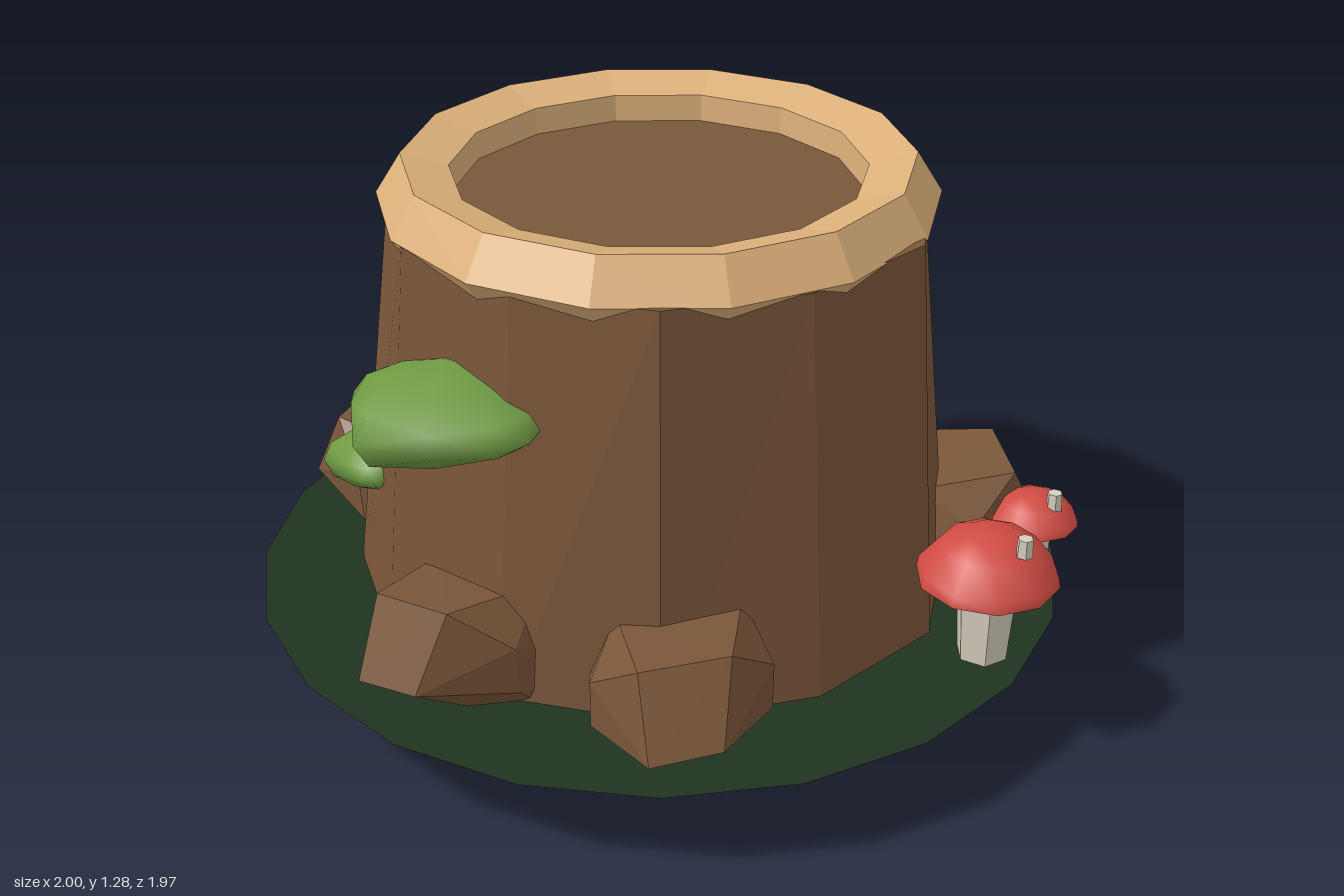
import * as THREE from 'three';
import { ConvexGeometry } from 'three/addons/geometries/ConvexGeometry.js';
import { mergeVertices } from 'three/addons/utils/BufferGeometryUtils.js';

const mat = (color, flatShading = true, side = THREE.FrontSide) =>
  new THREE.MeshStandardMaterial({ color, flatShading, side });

const bark = mat(0x7a5639);
const heartwood = mat(0x7a583b);
const cutWood = mat(0xdcb07a);
const grass = mat(0x1f3420, true, THREE.DoubleSide);
const capRed = mat(0xcf4b43, false, THREE.DoubleSide);
const stemCream = mat(0xd6cfbf);
const moss = mat(0x6f9a43, false);
const paleMoss = mat(0x8dba59, false);

const CX = -0.015; // stump axis

function add(parent, name, geometry, material, x = 0, y = 0, z = 0) {
  const mesh = new THREE.Mesh(geometry, material);
  mesh.name = name;
  mesh.position.set(x, y, z);
  parent.add(mesh);
  return mesh;
}

const lathe = (points, sides, start = 0) =>
  new THREE.LatheGeometry(points.map(([r, y]) => new THREE.Vector2(r, y)), sides, start);

// Twelve-sided tapering trunk with slightly uneven corners
function trunkGeometry() {
  const g = new THREE.CylinderGeometry(0.625, 0.74, 1.05, 12);
  const topWobble = [1.04, 1.02, 1.06, 0.98, 0.98, 0.97, 0.97, 0.98, 0.99, 1.0, 1.03, 1.0];
  const baseWobble = [0.98, 0.98, 1.0, 0.97, 0.98, 0.97, 0.97, 0.98, 1.0, 1.02, 1.0, 0.98];
  const p = g.attributes.position;
  for (let i = 0; i < p.count; i++) {
    const x = p.getX(i), y = p.getY(i), z = p.getZ(i);
    if (Math.hypot(x, z) < 0.01) continue;
    const k = (Math.round(Math.atan2(x, z) / (Math.PI / 6)) + 12) % 12;
    const w = (y > 0 ? topWobble : baseWobble)[k];
    p.setXYZ(i, x * w, y + (y > 0 ? 0.3 * (w - 1) : 0.7 * (1 - w)), z * w);
  }
  return g;
}

// Chunky root: outward is +z, its foot runs back under the trunk
function rootGeometry(reach, width) {
  const half = [ // side, height, outward
    [0.08, 0.31, 0.96], [0.1, 0.49, 0.87], [0.2, 0.39, 0.76], [0.2, 0.27, 0.75],
    [0.14, 0.47, 0.62], [0.14, 0.01, 0.47], [0.2, 0.16, 0.3],
  ];
  const pts = [];
  for (const s of [-1, 1]) {
    for (const [x, y, z] of half) {
      // a little skew keeps the two sides from matching exactly
      pts.push(new THREE.Vector3(s * x * width + 0.02, y + s * 0.01 * (y > 0.1), z * reach - s * 0.012));
    }
  }
  return new ConvexGeometry(pts);
}

// Rounded moss clump, pinched to a point at both ends
function mossGeometry(w, h, d, pinch) {
  let g = new THREE.IcosahedronGeometry(1, 1);
  g.deleteAttribute('uv');
  g.deleteAttribute('normal');
  g = mergeVertices(g, 1e-3);
  const p = g.attributes.position;
  for (let i = 0; i < p.count; i++) {
    const x = p.getX(i), y = p.getY(i), z = p.getZ(i);
    const k = 1 - pinch * Math.abs(x);
    p.setXYZ(i, x * w, y * h * k + 0.2 * h * x, z * d * k);
  }
  g.computeVertexNormals();
  return g;
}

function mushroom(name, x, z, r, capY, capH, stemR, wartX, wartZ) {
  const g = new THREE.Group();
  g.name = name;
  g.position.set(x, 0, z);
  const base = 0.17, stemH = capY + 0.03 - base;
  add(g, 'stem', new THREE.CylinderGeometry(stemR, stemR * 0.74, stemH, 6), stemCream, 0, base + stemH / 2, 0);
  add(g, 'cap', lathe([
    [r, 0], [r * 0.97, capH * 0.22], [r * 0.68, capH * 0.72], [r * 0.35, capH * 0.96], [0, capH],
  ], 10), capRed, 0, capY, 0);
  add(g, 'wart', new THREE.CylinderGeometry(0.018, 0.02, 0.045, 6), stemCream, wartX, capY + capH, wartZ);
  return g;
}

export function createModel() {
  const model = new THREE.Group();
  model.name = 'treeStump';

  // Flat patch of grass
  add(model, 'grassPatch', new THREE.CircleGeometry(0.985, 20).rotateX(-Math.PI / 2), grass, CX, 0.232, 0);

  // Trunk, cut rim and sunken heartwood
  add(model, 'trunk', trunkGeometry(), bark, CX, 0.665, 0);
  add(model, 'cutRim', lathe([
    [0.56, 1.07], [0.65, 1.2], [0.59, 1.295], [0.48, 1.265], [0.475, 1.19],
  ], 14, Math.PI / 14), cutWood, CX, 0, 0);
  add(model, 'heartwood',
    new THREE.CircleGeometry(0.55, 14).rotateX(-Math.PI / 2), heartwood, CX, 1.2, 0);

  // Roots: angle from the front in degrees, reach, width
  const roots = [[2, 1, 1], [92, 0.98, 0.95], [153, 1, 0.85], [247, 0.97, 1], [318, 0.96, 1]];
  for (const [deg, reach, width] of roots) {
    add(model, 'root', rootGeometry(reach, width), bark, CX, 0, 0).rotation.y = THREE.MathUtils.degToRad(deg);
  }

  // Moss clumps on the bark
  const clumps = [
    [-0.48, 0.875, 0.45, 0.28, 0.12, 0.25, 0.5, moss],
    [-0.69, 0.55, 0.08, 0.16, 0.085, 0.13, 0.5, moss],
    [0.21, 1.04, -0.62, 0.19, 0.085, 0.11, 0.2, paleMoss],
  ];
  for (const [x, y, z, w, h, d, pinch, m] of clumps) {
    add(model, 'mossClump', mossGeometry(w, h, d, pinch), m, x, y, z).rotation.y = Math.atan2(x, z);
  }

  // Mushrooms
  model.add(mushroom('largeMushroom', 0.73, 0.45, 0.165, 0.44, 0.12, 0.076, 0.065, 0.07));
  model.add(mushroom('smallMushroom', 0.895, 0.09, 0.11, 0.375, 0.075, 0.052, 0.04, 0.04));

  return model;
}
